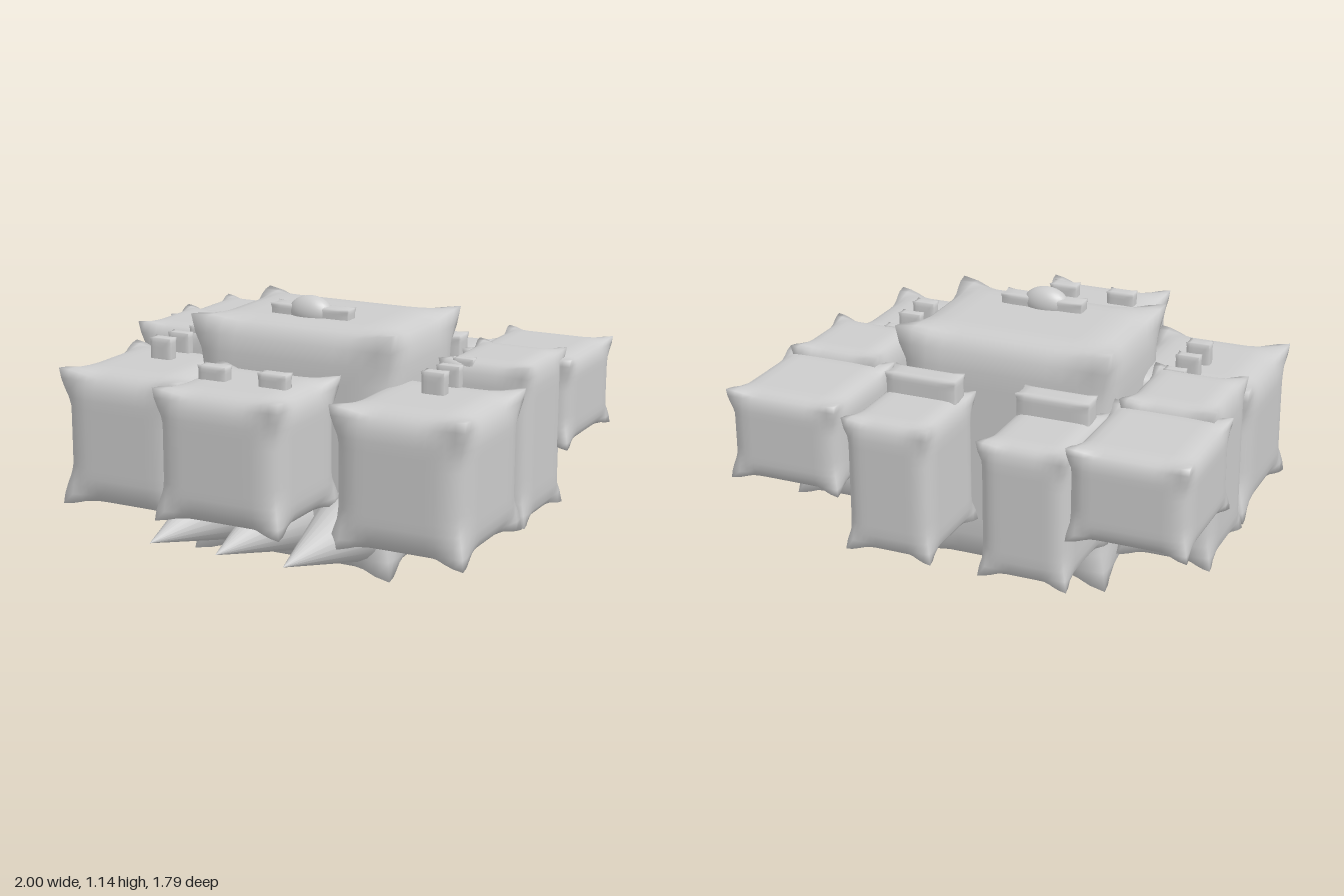
import * as THREE from 'three';
import { mergeVertices } from 'three/addons/utils/BufferGeometryUtils.js';

const grey = new THREE.MeshStandardMaterial({ color: 0xcccccc });
grey.name = 'plain grey';

// Box with soft rounded edges whose eight corners stay pointed
function softBox(w, h, d, seg = 14) {
  const geo = new THREE.BoxGeometry(w, h, d, seg, seg, seg);
  geo.deleteAttribute('uv');
  geo.deleteAttribute('normal');
  const half = new THREE.Vector3(w, h, d).multiplyScalar(0.5);
  const r = 0.2 * Math.min(w, h, d);
  const inner = half.clone().subScalar(r);
  const pos = geo.attributes.position;
  const p = new THREE.Vector3(), core = new THREE.Vector3(), round = new THREE.Vector3();
  for (let i = 0; i < pos.count; i++) {
    p.fromBufferAttribute(pos, i);
    core.copy(p).clamp(inner.clone().negate(), inner);
    round.copy(p).sub(core).setLength(r).add(core);
    // distance from the nearest corner decides how much rounding is applied
    const far = Math.max(half.x - Math.abs(p.x), half.y - Math.abs(p.y), half.z - Math.abs(p.z));
    round.lerp(p, 1 - THREE.MathUtils.smoothstep(far, 0, r * 1.6));
    pos.setXYZ(i, round.x, round.y, round.z);
  }
  const merged = mergeVertices(geo, 1e-5);
  merged.computeVertexNormals();
  return merged;
}

export function createModel() {
  const group = new THREE.Group();

  const add = (name, geo, x, y, z) => {
    const mesh = new THREE.Mesh(geo, grey);
    mesh.name = name;
    mesh.position.set(x, y, z);
    group.add(mesh);
    return mesh;
  };
  // Block given by its limits on each axis
  const block = (name, [x0, x1], [y0, y1], [z0, z1], seg) =>
    add(name, softBox(x1 - x0, y1 - y0, z1 - z0, seg), (x0 + x1) / 2, (y0 + y1) / 2, (z0 + z1) / 2);
  // The same block on both sides
  const pair = (name, [x0, x1], y, z, seg) => {
    block(name + 'Left', [x0, x1], y, z, seg);
    block(name + 'Right', [-x1, -x0], y, z, seg);
  };

  // Main blocks
  block('centralBlock', [-0.478, 0.475], [0, 1.055], [-0.4, 0.285]);
  block('frontBlock', [-0.287, 0.287], [0.335, 0.89], [0.37, 0.895]);
  pair('frontSideBlock', [0.352, 0.948], [0.225, 0.832], [0, 0.602]);
  pair('middleSideBlock', [0.545, 0.95], [0.22, 0.912], [-0.452, -0.02]);
  pair('rearOuterBlock', [0.498, 0.998], [0.478, 0.875], [-0.9, -0.37]);
  pair('rearInnerBlock', [0.105, 0.49], [0.23, 0.82], [-0.865, -0.4]);

  // Small studs and bars on the block tops
  pair('frontStud', [0.075, 0.203], [0.86, 0.948], [0.62, 0.685], 6);
  pair('sideStudFront', [0.598, 0.702], [0.8, 0.925], [0.212, 0.27], 6);
  pair('sideStudRear', [0.598, 0.702], [0.8, 0.92], [0.073, 0.122], 6);
  pair('middleStud', [0.6, 0.692], [0.82, 0.915], [-0.085, -0.04], 6);
  pair('rearBar', [0.135, 0.452], [0.78, 0.908], [-0.548, -0.44], 8);

  // Top bar with its oval knob
  block('topBar', [-0.188, 0.182], [1.02, 1.1], [0.027, 0.108], 8);
  const knob = add('topKnob', new THREE.SphereGeometry(1, 24, 16), -0.012, 1.07, 0.07);
  knob.scale.set(0.1, 0.07, 0.06);

  // Three forward-pointing spikes under the front block
  for (const x of [-0.315, -0.005, 0.305]) {
    const spike = add('spike', new THREE.ConeGeometry(0.152, 0.56, 20), x, 0.232, 0.615);
    spike.rotation.x = Math.PI / 2;
  }
  return group;
}
